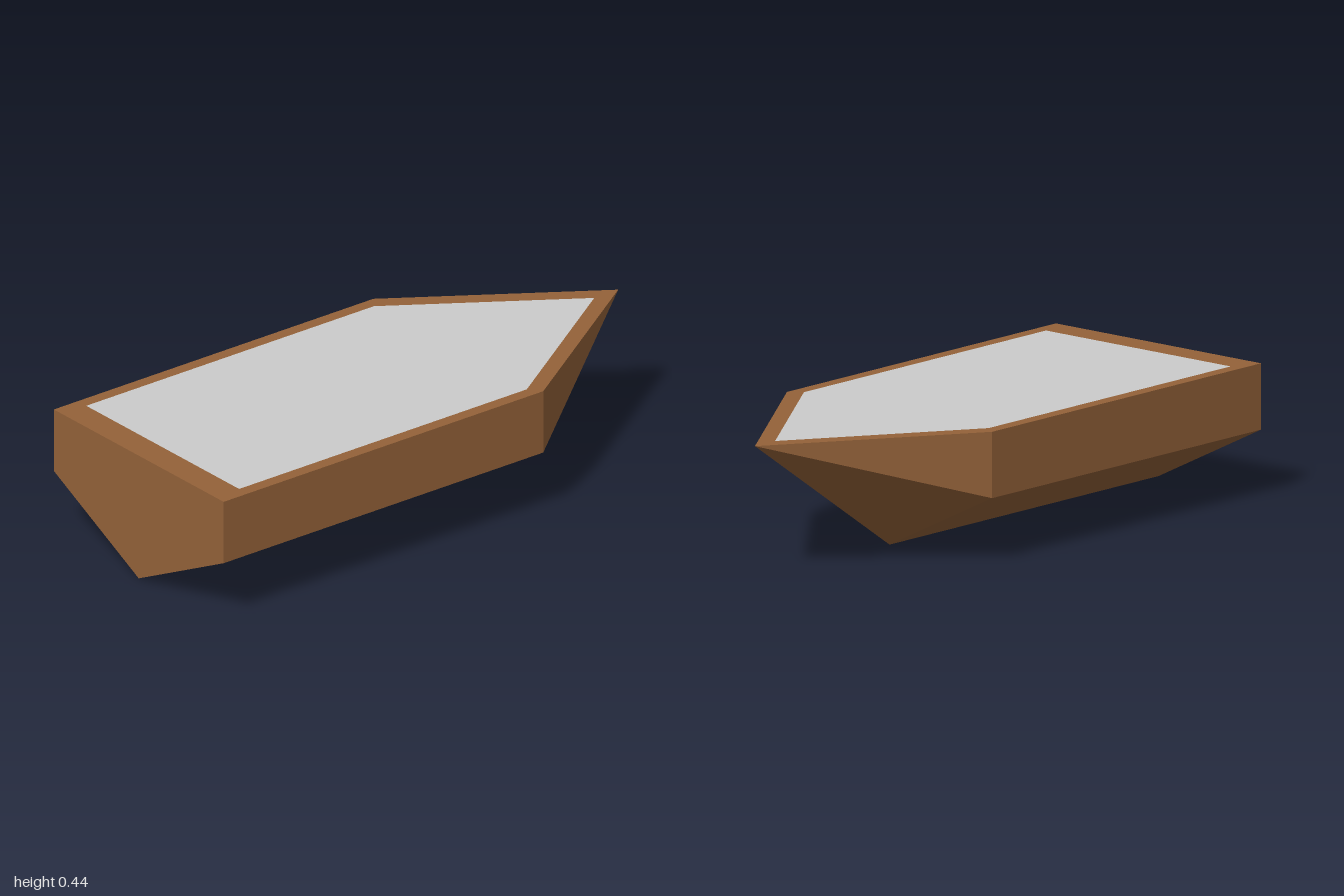
import * as THREE from 'three';

const W = 0.444, TOP = 0.444, CHINE = 0.222; // half beam, deck height, chine height
const STERN = 1, SHOULDER = -0.333, TIP = -1;

// Hull skin: a five-point section run along z, closed by a flat transom and drawn to a point
function hullGeometry() {
  const section = [[-W, TOP], [-W, CHINE], [0, 0], [W, CHINE], [W, TOP]];
  const at = (i, z) => [...section[i], z];
  const tip = [0, TOP, TIP];
  const pos = [];
  const tri = (...corners) => corners.forEach((c) => pos.push(...c));

  for (let i = 0; i < section.length - 1; i++) {
    const p = at(i, STERN), q = at(i + 1, STERN);
    const p2 = at(i, SHOULDER), q2 = at(i + 1, SHOULDER);
    tri(p, p2, q2);
    tri(p, q2, q);
    tri(p2, tip, q2);
    if (i > 0) tri(at(0, STERN), p, q);
  }

  const geometry = new THREE.BufferGeometry();
  geometry.setAttribute('position', new THREE.Float32BufferAttribute(pos, 3));
  geometry.computeVertexNormals();
  return geometry;
}

// Plan outline of the deck, scaled about the centre
function outline(scale) {
  return [[-W, -STERN], [W, -STERN], [W, -SHOULDER], [0, -TIP], [-W, -SHOULDER]]
    .map(([x, y]) => new THREE.Vector2(x * scale, y * scale));
}

function flatPanel(shape) {
  return new THREE.ShapeGeometry(shape).rotateX(-Math.PI / 2).translate(0, TOP, 0);
}

export function createModel() {
  const wood = new THREE.MeshStandardMaterial({ color: 0x946239, flatShading: true });
  const grey = new THREE.MeshStandardMaterial({ color: 0xcccccc, flatShading: true });
  const group = new THREE.Group();
  group.name = 'boat';

  const add = (name, geometry, material) => {
    const mesh = new THREE.Mesh(geometry, material);
    mesh.name = name;
    group.add(mesh);
  };

  add('hull', hullGeometry(), wood);

  // Rim around the deck, flush with it
  const rim = new THREE.Shape(outline(1));
  rim.holes.push(new THREE.Path(outline(0.9)));
  add('rim', flatPanel(rim), wood);

  add('deck', flatPanel(new THREE.Shape(outline(0.9))), grey);

  return group;
}
